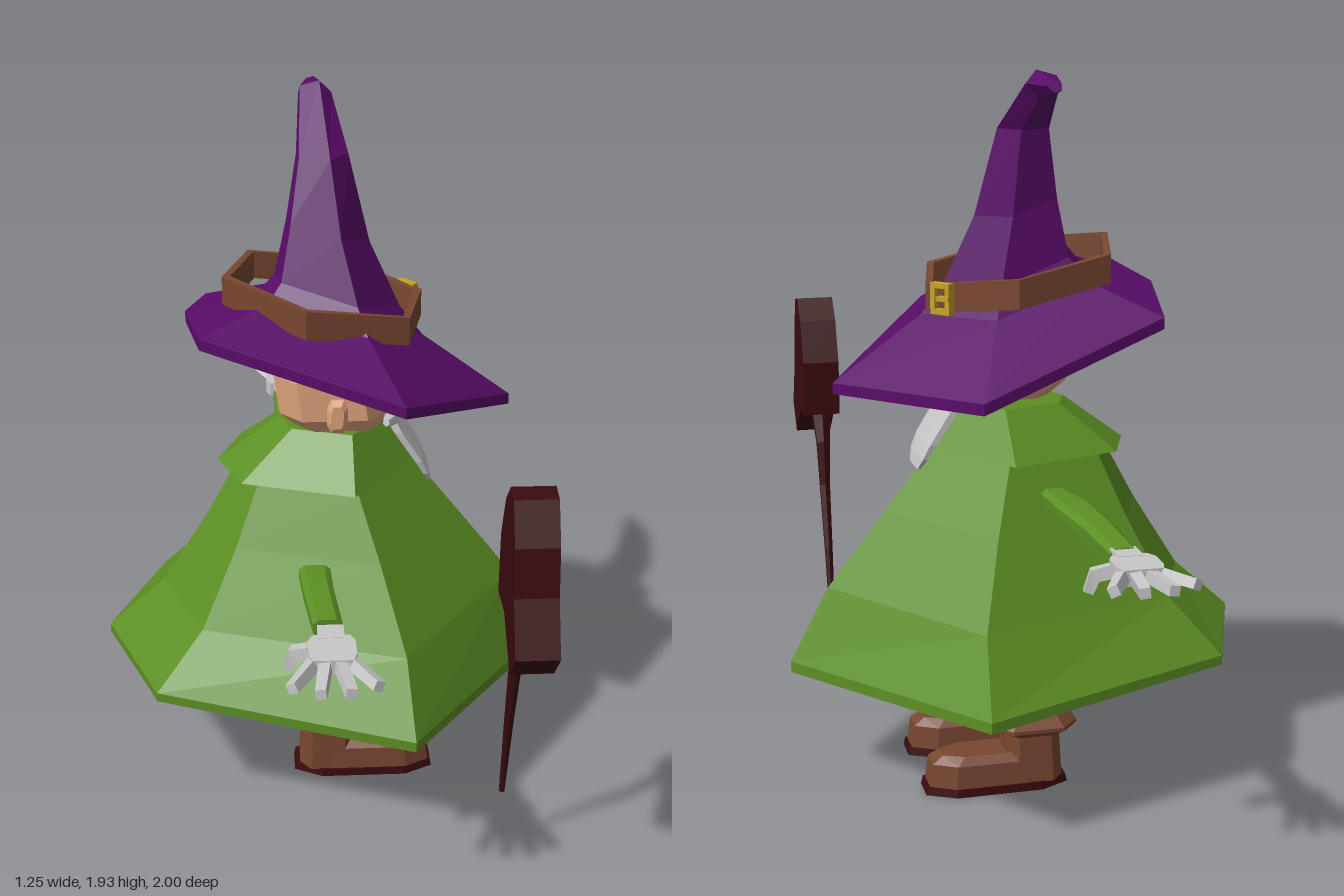
import * as THREE from 'three';

const mat = (name, color) => {
  const m = new THREE.MeshStandardMaterial({ color });
  m.name = name;
  return m;
};
const V = (x, y, z) => new THREE.Vector3(x, y, z);

// Closed faceted solid through rings of equal point count, turned outward by its signed volume
function loft(rings) {
  const n = rings[0].length;
  const tris = [];
  for (let r = 0; r + 1 < rings.length; r++) {
    for (let i = 0; i < n; i++) {
      const j = (i + 1) % n;
      const [a, b, c, d] = [rings[r][i], rings[r][j], rings[r + 1][j], rings[r + 1][i]];
      tris.push([a, b, c], [a, c, d]);
    }
  }
  const last = rings[rings.length - 1];
  for (let i = 1; i + 1 < n; i++) {
    tris.push([rings[0][0], rings[0][i + 1], rings[0][i]], [last[0], last[i], last[i + 1]]);
  }
  let volume = 0;
  for (const [a, b, c] of tris) volume += a.dot(b.clone().cross(c));
  const pos = [];
  for (const [a, b, c] of tris) {
    for (const p of volume < 0 ? [a, c, b] : [a, b, c]) pos.push(p.x, p.y, p.z);
  }
  const g = new THREE.BufferGeometry();
  g.setAttribute('position', new THREE.Float32BufferAttribute(pos, 3));
  g.computeVertexNormals();
  return g;
}

// Faceted tube along points [x, y, z, radius]
function limb(path, sides = 6) {
  const pts = path.map(p => V(p[0], p[1], p[2]));
  return loft(pts.map((p, k) => {
    const t = pts[Math.min(k + 1, pts.length - 1)].clone().sub(pts[Math.max(k - 1, 0)]).normalize();
    const q = new THREE.Quaternion().setFromUnitVectors(V(0, 1, 0), t);
    return Array.from({ length: sides }, (_, i) => {
      const a = (i + 0.5) / sides * Math.PI * 2;
      return V(Math.cos(a), 0, Math.sin(a)).multiplyScalar(path[k][3]).applyQuaternion(q).add(p);
    });
  }));
}

// Tilted, scaled copy of an outline [x, z]
const ring = (outline, sx, sz, cx, y, cz, tiltX = 0, tiltZ = 0) => outline.map(([x, z]) =>
  V(cx + x * sx, y + x * sx * tiltX + z * sz * tiltZ, cz + z * sz));

const octagon = [[1, 0.5], [0.6, 1], [-0.6, 1], [-1, 0.5], [-1, -0.5], [-0.6, -1], [0.6, -1], [1, -0.5]];
// Chamfered-box section: x range, height, half depth
const octRing = (x0, x1, y, hz, cz = 0) => ring(octagon, (x1 - x0) / 2, hz, (x0 + x1) / 2, y, cz);
// Flattened sleeve through points [x, y, z, half width, half height]
const sleeve = path => loft(path.map(([x, y, z, w, h]) => octagon.map(([u, v]) => V(x + u * w, y + v * h, z))));

export function createModel() {
  const root = new THREE.Group();
  root.name = 'wizard';
  const green = mat('robe green', 0x5c8f24);
  const purple = mat('hat purple', 0x590c68);
  const brown = mat('leather brown', 0x794731);
  const skin = mat('skin', 0xe2a67e);
  const grey = mat('glove and beard grey', 0xc8c8c8);
  const maroon = mat('dark wood', 0x3a0b0e);
  const gold = mat('buckle gold', 0xc9a227);

  const add = (name, geo, m, parent = root) => {
    const mesh = new THREE.Mesh(geo, m);
    mesh.name = name;
    parent.add(mesh);
    return mesh;
  };
  const box = (name, w, h, d, x, y, z, m, parent = root) => {
    const b = add(name, new THREE.BoxGeometry(w, h, d), m, parent);
    b.position.set(x, y, z);
  };

  // Robe: six-sided flared bell, hollow up to the shoulders
  const hem = [[0.625, 0], [0.2, -0.59], [-0.48, -0.37], [-0.625, 0], [-0.48, 0.36], [0.2, 0.58]];
  const robeRing = (s, y, t = 0, cx = 0) => ring(hem, s, s, cx, y, -0.03, t);
  add('robe', loft([
    robeRing(0.36, 0.9, 0, -0.01), robeRing(0.53, 0.745, 0, 0.01), robeRing(0.76, 0.545, 0, 0.025),
    robeRing(0.97, 0.365, -0.055), robeRing(1, 0.35, -0.055), robeRing(1, 0.378, -0.05),
    robeRing(0.79, 0.55, 0, 0.025), robeRing(0.56, 0.755, 0, 0.01), robeRing(0.385, 0.92, 0, -0.01),
    robeRing(0.22, 1.03),
  ]), green);
  add('collar', loft([
    robeRing(0.38, 0.945, 0, -0.03), robeRing(0.44, 0.925, 0, -0.03), robeRing(0.235, 1.05, 0, 0.01),
  ]), green);

  // Head
  add('neck', limb([[-0.03, 1.0, 0, 0.05], [-0.03, 1.1, 0, 0.05]], 8), skin);
  add('head', loft([
    octRing(-0.09, 0.14, 1.06, 0.1), octRing(-0.135, 0.155, 1.1, 0.125),
    octRing(-0.15, 0.14, 1.21, 0.125), octRing(-0.11, 0.1, 1.28, 0.1),
  ]), skin);
  add('nose', limb([[0.13, 1.16, 0, 0.02], [0.165, 1.11, 0, 0.032], [0.15, 1.08, 0, 0.02]], 6), skin);
  for (const s of [1, -1]) {
    add('ear', loft([[0.11, 0.022, 0.04], [0.138, 0.028, 0.047], [0.15, 0.016, 0.032]].map(([z, w, h]) =>
      octagon.map(([u, v]) => V(0.015 + u * w, 1.12 + v * h, s * z)))), skin);
    add('eyebrow', limb([[0.14, 1.15, s * 0.09, 0.012], [0.12, 1.215, s * 0.1, 0.018], [0.07, 1.18, s * 0.125, 0.01]], 4), grey);
    add('moustache', limb([[0.165, 1.09, 0, 0.022], [0.165, 1.08, s * 0.07, 0.022], [0.145, 1.095, s * 0.13, 0.01]], 5), grey);
  }
  add('beard', loft([
    octRing(0.13, 0.17, 1.1, 0.08, -0.015), octRing(0.165, 0.2, 1.04, 0.095, -0.02),
    octRing(0.225, 0.255, 0.95, 0.093, -0.02), octRing(0.25, 0.272, 0.91, 0.085, -0.02),
    octRing(0.265, 0.28, 0.88, 0.06, -0.02),
  ]), grey);

  // Hat: tilted brim and bent crown in one piece
  const brim = [[0.47, 0.01], [0.16, -0.44], [-0.35, -0.29], [-0.4, -0.02], [-0.36, 0.25], [0.15, 0.43]];
  const hatRing = (s, cx, y, cz, tx = -0.287, tz = 0.138, sz = s) => ring(brim, s, sz, cx, y, cz, tx, tz);
  add('hat', loft([
    hatRing(0.5, 0.02, 1.32, -0.02), hatRing(0.97, 0.02, 1.23, -0.02), hatRing(1, 0.02, 1.215, -0.02),
    hatRing(1, 0.02, 1.245, -0.02), hatRing(0.5, 0.015, 1.355, -0.02), hatRing(0.38, 0.01, 1.42, -0.02),
    hatRing(0.25, -0.01, 1.58, -0.03), hatRing(0.155, -0.02, 1.775, -0.06, 0, 0),
    hatRing(0.1, -0.03, 1.895, -0.215, 0, 2.3, 0.035), hatRing(0.04, -0.03, 1.895, -0.335, 0, 3, 0.012),
  ]), purple);

  // Hat band: hollow six-sided strap with a square buckle
  const strap = [[0.265, -0.08], [0.06, -0.265], [-0.2, -0.2], [-0.27, 0.07], [-0.06, 0.255], [0.21, 0.18]];
  for (let i = 0; i < 6; i++) {
    const ends = [strap[i], strap[(i + 1) % 6]];
    add('hatBand', loft(ends.map(([x, z]) => [[1, -0.038], [1, 0.038], [0.92, 0.038], [0.92, -0.038]].map(([s, h]) =>
      V(x * s - 0.01, 1.394 + h - 0.175 * x + 0.03 * z, z * s - 0.025)))), brown);
  }
  const buckle = new THREE.Group();
  buckle.name = 'buckle';
  buckle.position.set(0.22, 1.35, -0.147);
  buckle.rotation.y = Math.PI * 0.73;
  root.add(buckle);
  for (const s of [1, -1]) {
    box('buckleSide', 0.014, 0.08, 0.022, s * 0.023, 0, 0, gold, buckle);
    box('buckleBar', 0.06, 0.014, 0.022, 0, s * 0.034, 0, gold, buckle);
  }
  box('bucklePin', 0.04, 0.012, 0.027, 0.01, 0, 0, gold, buckle);

  // Sleeves
  add('leftSleeve', sleeve([[-0.06, 0.828, 0.45, 0.04, 0.022], [-0.055, 0.828, 0.56, 0.038, 0.024],
    [-0.04, 0.825, 0.72, 0.036, 0.024]]), green);
  add('rightSleeve', sleeve([[-0.05, 0.835, -0.26, 0.035, 0.02], [-0.07, 0.832, -0.38, 0.05, 0.022],
    [-0.092, 0.818, -0.54, 0.042, 0.026], [-0.1, 0.808, -0.73, 0.036, 0.025]]), green);

  // Gloved hands: the second is the first turned half a circle
  const hand = (name, x, y, z, turn) => {
    const g = new THREE.Group();
    g.name = name;
    g.position.set(x, y, z);
    g.rotation.y = turn;
    root.add(g);
    box('wrist', 0.064, 0.042, 0.07, 0, 0, 0.025, grey, g);
    add('palm', loft([[0.045, 0.045], [0.057, 0.07], [0.057, 0.13], [0.048, 0.16]].map(([w, d]) =>
      [V(-w, -0.02, d), V(w, -0.02, d), V(w, 0.02, d), V(-w, 0.02, d)])), grey, g);
    for (const [x0, x1, len] of [[-0.04, -0.1, 0.25], [-0.016, -0.035, 0.278], [0.014, 0.035, 0.278], [0.04, 0.1, 0.25]]) {
      add('finger', limb([[x0, 0, 0.13, 0.021], [x1, 0.004, len, 0.018]], 4), grey, g);
    }
    add('thumb', limb([[-0.03, -0.005, 0.07, 0.024], [-0.09, -0.018, 0.062, 0.024], [-0.105, -0.06, 0.06, 0.018]], 4), grey, g);
  };
  hand('leftHand', -0.035, 0.815, 0.72, 0);
  hand('rightHand', -0.1, 0.81, -0.722, Math.PI);

  // Floating staff: thick carved head and thin curved handle
  const outline = [[0.8, 1.2], [0.75, 1.21], [0.69, 1.15], [0.64, 1.03], [0.64, 0.87], [0.74, 0.87],
    [0.86, 0.77], [0.93, 0.85], [0.87, 0.98], [0.85, 1.1]];
  const shape = new THREE.Shape(outline.map(([z, y]) => new THREE.Vector2(-z, y)));
  const staffHead = add('staffHead', new THREE.ExtrudeGeometry(shape, { depth: 0.106, bevelEnabled: false }), maroon);
  staffHead.rotation.y = Math.PI / 2;
  staffHead.position.x = 0.381;
  add('staffHandle', limb([[0.432, 0.2, 0.534, 0.008], [0.432, 0.46, 0.59, 0.013], [0.432, 0.65, 0.64, 0.017],
    [0.432, 0.78, 0.655, 0.022], [0.432, 0.9, 0.7, 0.035]]), maroon);

  // Legs and boots
  for (const [side, z] of [['left', 0.09], ['right', -0.178]]) {
    const leg = new THREE.Group();
    leg.name = side + 'Leg';
    leg.position.z = z;
    root.add(leg);
    box('trouserHem', 0.1, 0.02, 0.18, -0.005, 0.35, 0, purple, leg);
    add('shin', loft([octRing(-0.055, 0.05, 0.2, 0.045), octRing(-0.045, 0.045, 0.26, 0.038),
      octRing(-0.07, 0.05, 0.32, 0.052), octRing(-0.055, 0.045, 0.35, 0.045)]), skin, leg);
    add('bootShaft', loft([octRing(-0.09, 0.07, 0.02, 0.072), octRing(-0.08, 0.065, 0.19, 0.068)]), brown, leg);
    add('bootCuff', loft([octRing(-0.085, 0.07, 0.155, 0.075), octRing(-0.125, 0.11, 0.178, 0.108),
      octRing(-0.125, 0.11, 0.188, 0.108), octRing(-0.085, 0.07, 0.232, 0.075)]), brown, leg);
    add('bootToe', loft([octRing(-0.06, 0.28, 0.02, 0.074), octRing(-0.05, 0.27, 0.085, 0.07),
      octRing(-0.03, 0.24, 0.105, 0.05)]), brown, leg);
    add('sole', loft([octRing(-0.105, 0.29, 0, 0.08), octRing(-0.1, 0.285, 0.022, 0.078)]), maroon, leg);
  }
  return root;
}
